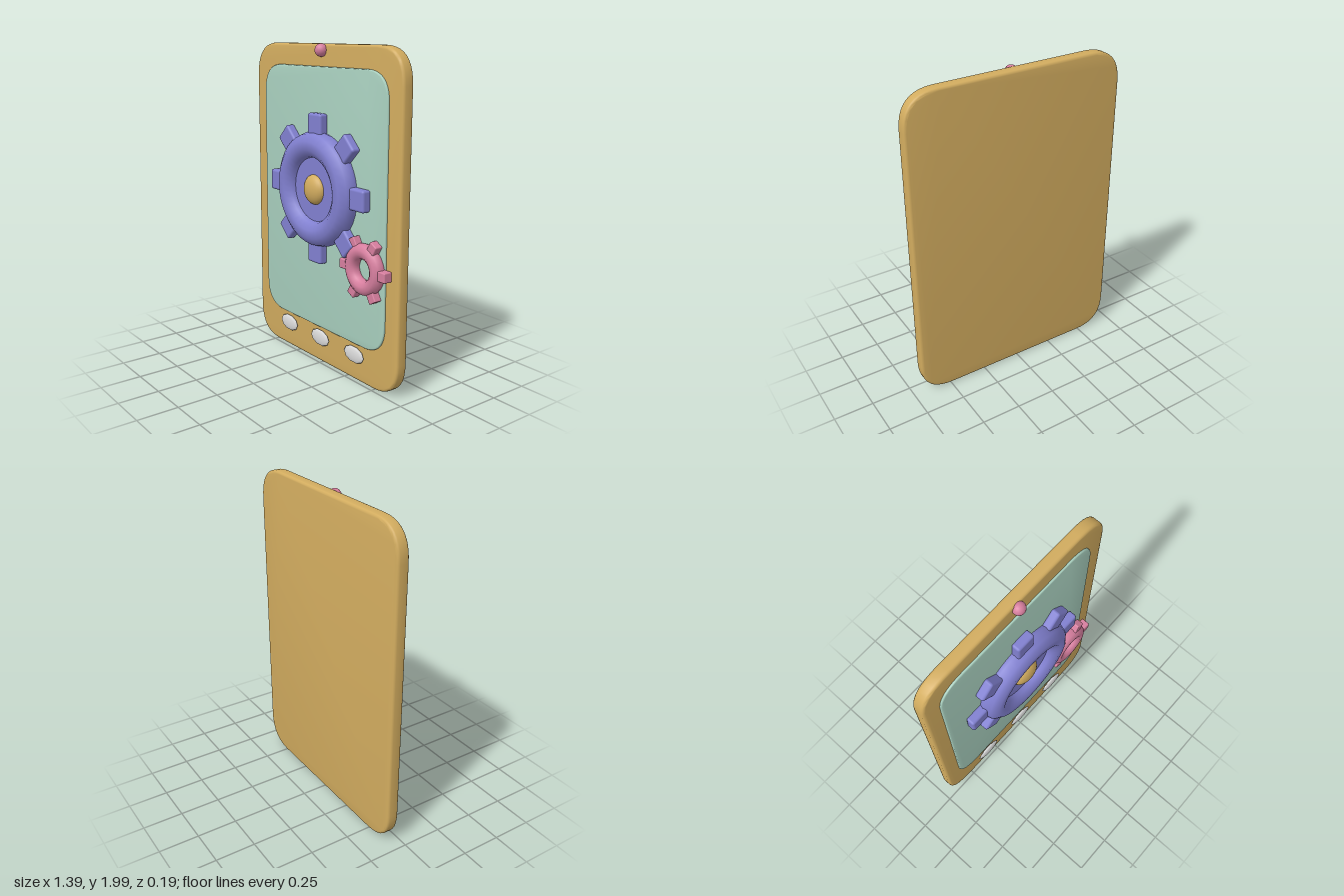
import * as THREE from 'three';
import { toCreasedNormals } from 'three/addons/utils/BufferGeometryUtils.js';
import { RoundedBoxGeometry } from 'three/addons/geometries/RoundedBoxGeometry.js';

const material = (name, color) => Object.assign(new THREE.MeshStandardMaterial({ color }), { name });

// Soft-cornered slab, standing upright between zBack and zFront
function slab(w, h, r, zBack, zFront, bevel) {
  const x = w / 2, y = h / 2;
  const s = new THREE.Shape();
  s.moveTo(-x + r, -y);
  s.lineTo(x - r, -y);
  s.quadraticCurveTo(x, -y, x, -y + r);
  s.lineTo(x, y - r);
  s.quadraticCurveTo(x, y, x - r, y);
  s.lineTo(-x + r, y);
  s.quadraticCurveTo(-x, y, -x, y - r);
  s.lineTo(-x, -y + r);
  s.quadraticCurveTo(-x, -y, -x + r, -y);
  const g = new THREE.ExtrudeGeometry(s, {
    depth: zFront - zBack - 2 * bevel, curveSegments: 10,
    bevelThickness: bevel, bevelSize: bevel, bevelOffset: -bevel, bevelSegments: 3,
  });
  g.translate(0, 0, zBack + bevel);
  return toCreasedNormals(g, 0.7);
}

export function createModel() {
  const gold = material('gold', 0xd2ac5f);
  const mint = material('mint', 0xa9d0bf);
  const violet = material('violet', 0x8180d0);
  const pink = material('pink', 0xd77f9f);
  const silver = material('silver', 0xdcdcdc);

  const model = new THREE.Group();
  model.name = 'tablet';
  const add = (parent, name, geometry, mat, x = 0, y = 0, z = 0) => {
    const m = new THREE.Mesh(geometry, mat);
    m.name = name;
    m.position.set(x, y, z);
    parent.add(m);
    return m;
  };

  // Ring with evenly spaced teeth around it
  function gear(name, mat, { x, y, z, ring, tube, teeth, length, width, depth, reach }) {
    const g = new THREE.Group();
    g.name = name;
    g.position.set(x, y, z);
    add(g, name + 'Ring', new THREE.TorusGeometry(ring, tube, 10, 40), mat);
    const tooth = new RoundedBoxGeometry(length, width, depth, 2, width * 0.12);
    for (let i = 0; i < teeth; i++) {
      const a = (i / teeth) * Math.PI * 2, r = reach - length / 2;
      add(g, name + 'Tooth', tooth, mat, Math.cos(a) * r, Math.sin(a) * r, 0).rotation.z = a;
    }
    model.add(g);
    return g;
  }

  // Body and screen
  add(model, 'body', slab(1.39, 1.99, 0.21, -0.095, -0.02, 0.016), gold, 0, 1.005);
  add(model, 'screen', slab(1.18, 1.624, 0.18, -0.04, -0.008, 0.008), mint, -0.002, 1.057);

  // Large gear with a closed hub and a domed cap
  const big = gear('largeGear', violet, {
    x: 0, y: 1.14, z: 0.017, ring: 0.27, tube: 0.083,
    teeth: 8, length: 0.14, width: 0.13, depth: 0.06, reach: 0.458,
  });
  const disc = new THREE.CylinderGeometry(0.23, 0.23, 0.045, 40);
  disc.rotateX(Math.PI / 2);
  add(big, 'hub', disc, violet, 0, 0, 0);
  add(big, 'hubCap', new THREE.SphereGeometry(0.092, 24, 16), gold, 0, 0, 0.018).scale.z = 0.55;

  // Small open gear
  gear('smallGear', pink, {
    x: 0.439, y: 0.74, z: 0.01, ring: 0.108, tube: 0.047,
    teeth: 6, length: 0.065, width: 0.06, depth: 0.058, reach: 0.199,
  });

  // Camera bead and the three buttons
  add(model, 'camera', new THREE.SphereGeometry(0.039, 18, 12), pink, 0, 1.963, -0.011);
  const button = new THREE.SphereGeometry(1, 10, 8);
  button.rotateX(Math.PI / 2);
  button.scale(0.091, 0.053, 0.015);
  for (const x of [-0.333, 0, 0.333]) add(model, 'button', button, silver, x, 0.18, -0.003);

  return model;
}
